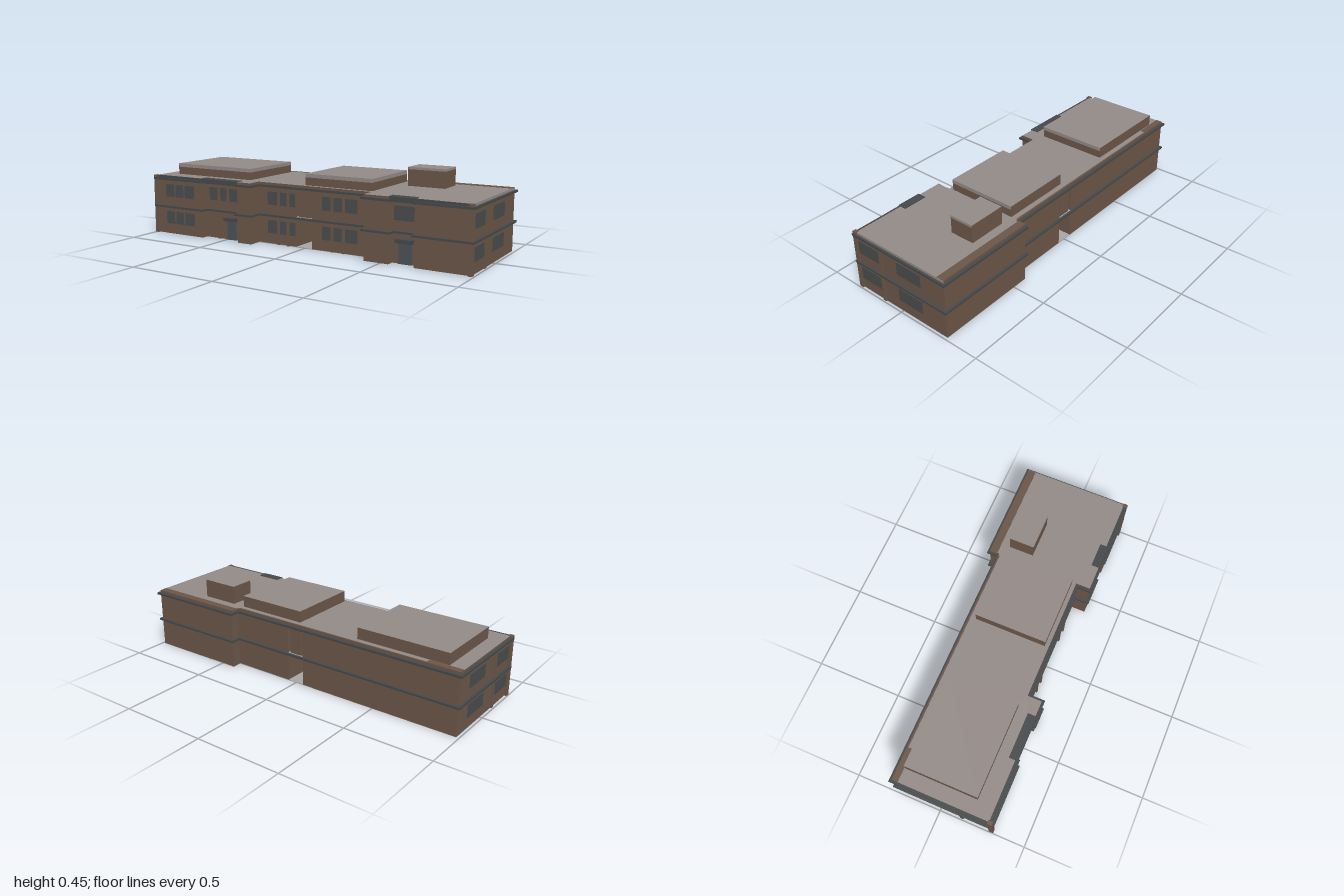
import * as THREE from 'three';

const mat = (name, color) => {
  const m = new THREE.MeshStandardMaterial({ color });
  m.name = name;
  return m;
};

export function createModel() {
  const model = new THREE.Group();
  model.name = 'twoStoreyBuilding';
  const brick = mat('brownBrick', 0x6b5648);
  const roofing = mat('greyRoofing', 0x938a86);
  const trim = mat('darkTrim', 0x45484a);
  const glass = mat('windowGlass', 0x4a4b4c);
  const floorMat = mat('concreteFloor', 0xa8a6a4);
  const doorMat = mat('doorGrey', 0x4a5258);

  // Box given by its limits on each axis
  const box = (name, m, x0, x1, y0, y1, z0, z1) => {
    const mesh = new THREE.Mesh(new THREE.BoxGeometry(x1 - x0, y1 - y0, z1 - z0), m);
    mesh.position.set((x0 + x1) / 2, (y0 + y1) / 2, (z0 + z1) / 2);
    mesh.name = name;
    model.add(mesh);
    return mesh;
  };

  // Plan outlines (x, z) grown outward by o; inner is the edge beside the passage
  const WALL = 0.985, WING = 0.303, MID = 0.222, RECESS = 0.26;
  const leftPlan = (o, inner) => [
    [-WALL - o, -0.25 - o], [-inner, -0.25 - o], [-inner, MID + o], [-0.3 + o, MID + o],
    [-0.3 + o, WING + o], [-0.39 - o, WING + o], [-0.39 - o, RECESS + o],
    [-0.645 + o, RECESS + o], [-0.645 + o, WING + o], [-WALL - o, WING + o],
  ];
  const rightPlan = (o, inner) => [
    [inner, -0.25 - o], [0.412 - o, -0.25 - o], [0.412 - o, -0.306 - o], [WALL + o, -0.306 - o],
    [WALL + o, WING + o], [0.69 - o, WING + o], [0.69 - o, RECESS + o], [0.55 + o, RECESS + o],
    [0.55 + o, WING + o], [0.41 - o, WING + o], [0.41 - o, MID + o], [inner, MID + o],
  ];
  const slab = (name, m, plan, y0, y1) => {
    const shape = new THREE.Shape(plan.map(([x, z]) => new THREE.Vector2(x, z)));
    const geo = new THREE.ExtrudeGeometry(shape, { depth: y1 - y0, bevelEnabled: false });
    geo.rotateX(Math.PI / 2).translate(0, y1, 0);
    const mesh = new THREE.Mesh(geo, m);
    mesh.name = name;
    model.add(mesh);
  };

  // Walls, string courses and roof on both sides of the passage
  for (const [side, plan] of [['left', rightPlan], ['right', leftPlan]]) {
    slab(side + 'Walls', brick, plan(0, 0.05), 0.002, 0.33);
    slab(side + 'LowerBand', trim, plan(0.014, 0), 0.157, 0.168);
    slab(side + 'UpperBand', trim, plan(0.014, 0), 0.321, 0.333);
    slab(side + 'Roof', [roofing, brick], plan(0, 0), 0.315, 0.345);
  }

  // Ground floor plates, passage landing and bridge room
  box('groundFloor', floorMat, -WALL, 0.412, 0, 0.004, -0.25, MID);
  box('groundFloorWing', floorMat, 0.412, WALL, 0, 0.004, -0.306, MID);
  box('landingFloor', floorMat, -0.05, 0.05, 0.166, 0.17, -0.25, MID);
  box('bridgeRoom', brick, -0.036, 0.038, 0.157, 0.32, -0.245, MID - 0.005);

  // Brown parapet strips along the back and grey strip on the end
  box('backParapetWing', brick, 0.405, WALL, 0.34, 0.347, -0.306, -0.262);
  box('backParapetLong', brick, -WALL, 0.4, 0.34, 0.347, -0.25, -0.242);
  box('backParapetCorner', brick, -WALL, -0.8, 0.34, 0.347, -0.245, -0.215);
  box('endFlashing', roofing, WALL - 0.004, WALL + 0.002, 0.333, 0.346, -0.305, 0.29);
  box('frontCoping', trim, -WALL, -0.645, 0.333, 0.346, 0.296, WING + 0.003);
  box('frontCoping', trim, 0.69, WALL, 0.333, 0.346, 0.296, WING + 0.003);

  // Roof plant rooms with grey flashing on the front and left faces
  const roofBox = (name, x0, x1, z0, z1, top, cap) => {
    box(name, [brick, brick, roofing, brick, brick, brick], x0, x1, 0.34, top, z0, z1);
    box(name + 'Flashing', roofing, x0 + 0.002, x1 + 0.001, top - cap, top + 0.0005, z0 + 0.002, z1 + 0.001);
  };
  roofBox('longPlantRoom', -0.905, -0.375, -0.21, 0.199, 0.408, 0.02);
  roofBox('middlePlantRoom', -0.005, 0.402, -0.21, 0.199, 0.408, 0.02);
  roofBox('stairHead', 0.475, 0.69, -0.211, -0.07, 0.447, 0.012);

  // Windows as thin plates
  const UP = [0.222, 0.296], LOW = [0.062, 0.135];
  const frontWindows = (xs, z, rows) => {
    for (const [a, b] of xs) for (const [y0, y1] of rows) box('frontWindow', glass, a, b, y0, y1, z - 0.002, z + 0.003);
  };
  frontWindows([[-0.915, -0.855], [-0.842, -0.785], [-0.772, -0.703]], WING, [UP, LOW]);
  frontWindows([[-0.62, -0.555], [-0.545, -0.49], [-0.48, -0.412]], RECESS, [UP]);
  frontWindows([[-0.238, -0.17], [-0.157, -0.11], [-0.097, -0.057]], MID, [UP, LOW]);
  frontWindows([[0.115, 0.172], [0.188, 0.242], [0.256, 0.33]], MID, [UP, LOW]);
  frontWindows([[0.56, 0.68]], RECESS, [UP]);
  for (const s of [-1, 1]) {
    const x = s * WALL;
    for (const [y0, y1] of [UP, LOW]) {
      box('endWindow', glass, x - 0.003, x + 0.003, y0, y1, 0.138, 0.29);
      box('endWindow', glass, x - 0.003, x + 0.003, y0, y1, -0.147, 0.016);
    }
    // End pilaster and front corner pier
    box('endPilaster', brick, x - 0.008, x + 0.008, 0.002, 0.321, 0.117, 0.137);
    box('cornerPier', brick, x - 0.013, x + 0.009, 0.002, 0.346, 0.29, 0.316);
  }

  // Front pilasters
  const pilasters = (xs, z) => {
    for (const x of xs) box('frontPilaster', brick, x - 0.007, x + 0.007, 0.002, 0.321, z - 0.005, z + 0.011);
  };
  pilasters([-0.55, -0.485], RECESS);
  pilasters([-0.163, -0.1, 0.18, 0.249], MID);

  // Entrances: door, canopy and dark slab over each recess
  for (const [x0, x1, r0, r1] of [[-0.487, -0.432, -0.645, -0.388], [0.592, 0.66, 0.55, 0.692]]) {
    box('door', doorMat, x0, x1, 0.004, 0.11, RECESS, RECESS + 0.014);
    box('doorCanopy', trim, x0 - 0.012, x1 + 0.012, 0.113, 0.133, RECESS, RECESS + 0.035);
    box('recessCanopy', trim, r0, r1, 0.321, 0.348, RECESS, 0.31);
  }
  return model;
}
